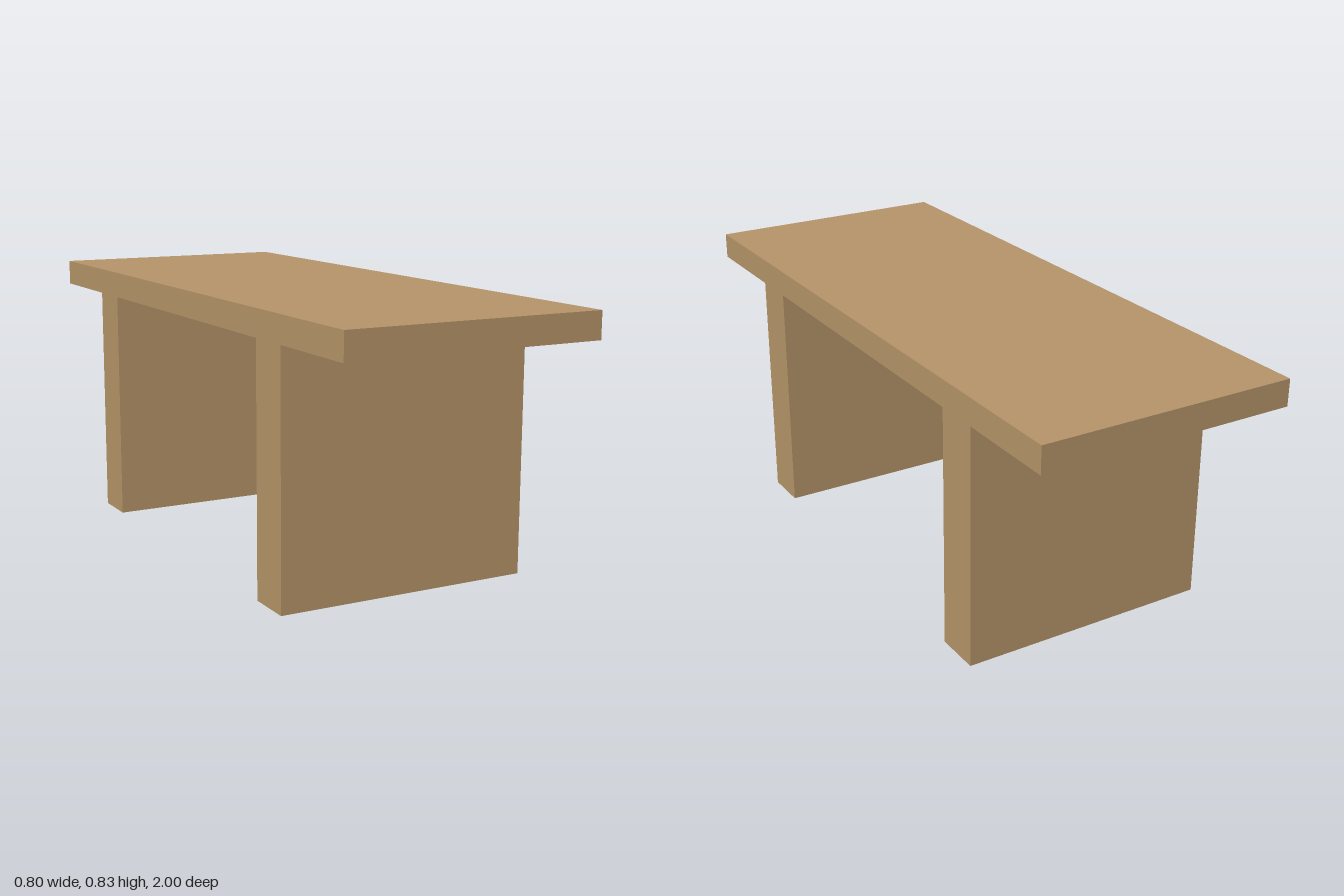
import * as THREE from 'three';

const WIDTH = 0.8;
const LENGTH = 2;
const HEIGHT = 0.833;
const LEG_HEIGHT = 0.751;
const LEG_DEPTH = 0.145;
const LEG_Z = 0.595;

export function createModel() {
  const bench = new THREE.Group();
  bench.name = 'bench';
  const wood = new THREE.MeshStandardMaterial({ color: 0xb8966a });
  wood.name = 'wood';

  // Adds a box standing on the given height
  const addBox = (name, height, depth, bottom, z) => {
    const mesh = new THREE.Mesh(new THREE.BoxGeometry(WIDTH, height, depth), wood);
    mesh.name = name;
    mesh.position.set(0, bottom + height / 2, z);
    bench.add(mesh);
  };

  // Seat slab
  addBox('seat', HEIGHT - LEG_HEIGHT, LENGTH, LEG_HEIGHT, 0);

  // Slab legs, flush with the long sides of the seat
  addBox('frontLeg', LEG_HEIGHT, LEG_DEPTH, 0, LEG_Z);
  addBox('backLeg', LEG_HEIGHT, LEG_DEPTH, 0, -LEG_Z);

  return bench;
}
